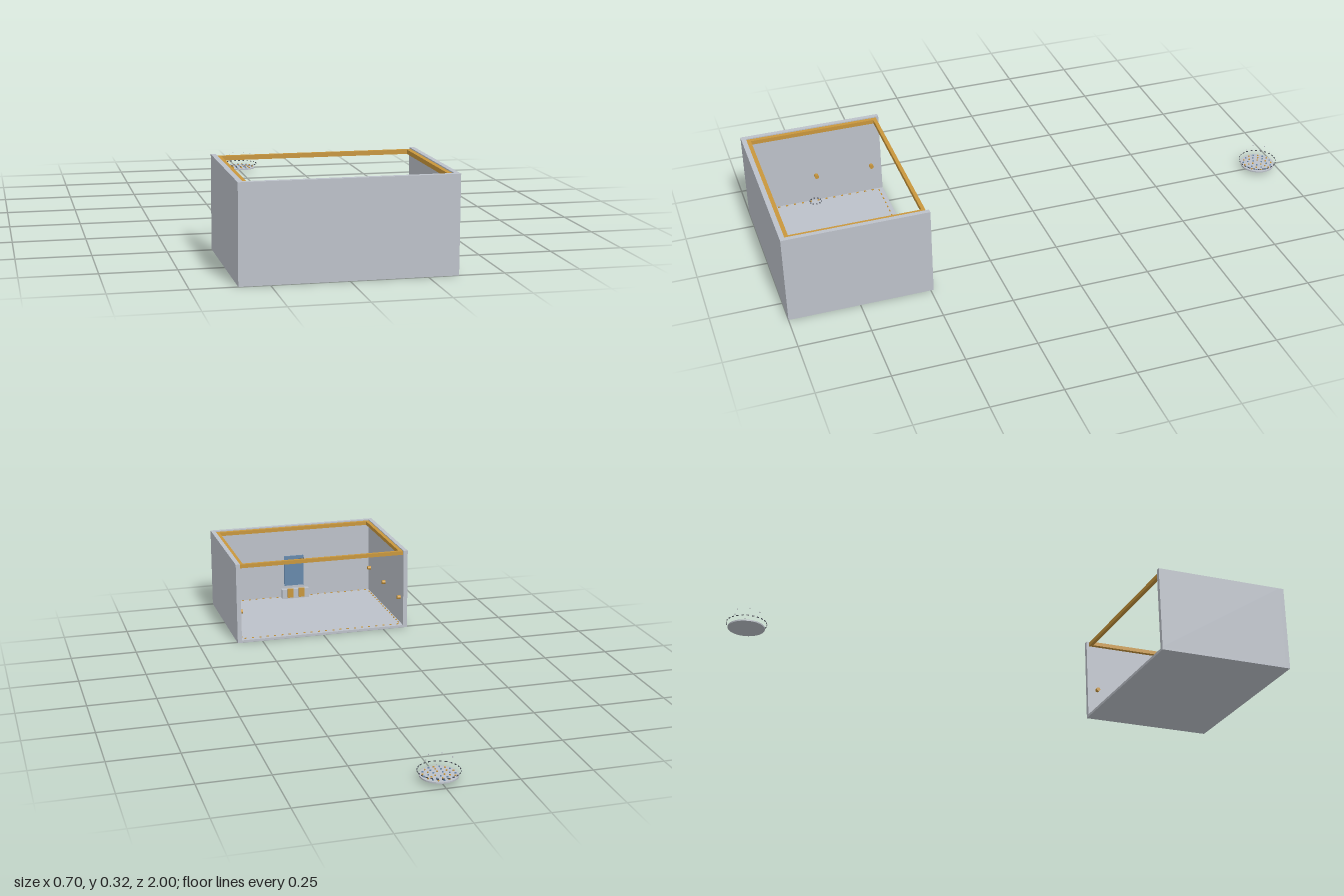
import * as THREE from 'three';

const mat = (name, color) => {
  const m = new THREE.MeshStandardMaterial({ color });
  m.name = name;
  return m;
};

export function createModel() {
  const root = new THREE.Group();
  const grey = mat('pale grey', 0xbcc1c9);
  const gold = mat('gold', 0xc8963c);
  const blue = mat('blue', 0x6688aa);
  const dark = mat('dark grey', 0x4a4f57);

  const add = (name, geo, m, x, y, z, parent = root) => {
    const mesh = new THREE.Mesh(geo, m);
    mesh.name = name;
    mesh.position.set(x, y, z);
    parent.add(mesh);
    return mesh;
  };
  // box given by its minimum and maximum on each axis
  const box = (name, m, x0, x1, y0, y1, z0, z1) =>
    add(name, new THREE.BoxGeometry(x1 - x0, y1 - y0, z1 - z0), m,
      (x0 + x1) / 2, (y0 + y1) / 2, (z0 + z1) / 2);
  // small blocks spread evenly round a horizontal circle
  const ring = (name, m, count, r, y, z, size) => {
    const g = new THREE.Group();
    g.name = name;
    for (let i = 0; i < count; i++) {
      const a = (i + 0.5) / count * Math.PI * 2;
      const b = add(name + 'Piece', new THREE.BoxGeometry(...size), m,
        r * Math.sin(a), y, z + r * Math.cos(a), g);
      b.rotation.y = a;
    }
    root.add(g);
  };

  // open-backed room
  box('floor', grey, -0.35, 0.35, 0, 0.01, 0.49, 1);
  box('frontWall', grey, -0.35, 0.35, 0.01, 0.323, 0.983, 1);
  for (const s of [-1, 1]) {
    const side = s < 0 ? 'right' : 'left';
    const span = (a, b) => s < 0 ? [-b, -a] : [a, b];
    box(side + 'Wall', grey, ...span(0.333, 0.35), 0.01, 0.323, 0.49, 0.983);
    box(side + 'Trim', gold, ...span(0.318, 0.333), 0.304, 0.319, 0.5, 0.983);
    // wall lamps
    for (const z of [0.53, 0.74, 0.95]) {
      const lamp = add(side + 'WallLamp', new THREE.CylinderGeometry(0.008, 0.008, 0.014, 12),
        gold, s * 0.326, 0.117, z);
      lamp.rotation.z = Math.PI / 2;
    }
    // gold posts on the desk front
    box(side + 'DeskPost', gold, ...span(0.012, 0.036), 0.016, 0.055, 0.943, 0.95);
  }
  box('frontTrim', gold, -0.318, 0.318, 0.304, 0.319, 0.968, 0.983);
  box('backBeam', gold, -0.318, 0.318, 0.304, 0.319, 0.5, 0.513);

  // desk and wall panel
  box('desk', grey, -0.058, 0.058, 0.01, 0.05, 0.95, 0.972);
  box('wallPanel', blue, -0.042, 0.042, 0.06, 0.19, 0.976, 0.983);

  // floor lights along the walls
  for (let i = 0; i < 22; i++) {
    const x = -0.315 + i * 0.03;
    for (const z of [0.507, 0.976]) box('floorLight', gold, x - 0.004, x + 0.004, 0.01, 0.013, z - 0.002, z + 0.002);
  }
  for (let i = 0; i < 15; i++) {
    const z = 0.53 + i * 0.03;
    for (const x of [-0.326, 0.326]) box('floorLight', gold, x - 0.002, x + 0.002, 0.01, 0.013, z - 0.004, z + 0.004);
  }

  // hanging ring of sparks
  ring('roomSparks', dark, 10, 0.02, 0.222, 0.81, [0.004, 0.003, 0.003]);

  // separate round platform with coloured studs
  const cz = -0.928;
  add('platform', new THREE.CylinderGeometry(0.064, 0.064, 0.005, 40), grey, 0, 0.016, cz);
  for (const [r, n] of [[0.018, 6], [0.036, 12], [0.053, 18]]) {
    for (let i = 0; i < n; i++) {
      const a = i / n * Math.PI * 2;
      add('platformStud', new THREE.CylinderGeometry(0.003, 0.003, 0.003, 8), i % 2 ? blue : gold,
        r * Math.sin(a), 0.02, cz + r * Math.cos(a));
    }
  }
  ring('platformHalo', dark, 24, 0.07, 0.032, cz, [0.008, 0.003, 0.002]);
  ring('platformSparks', grey, 6, 0.045, 0.072, cz, [0.003, 0.003, 0.003]);

  return root;
}
